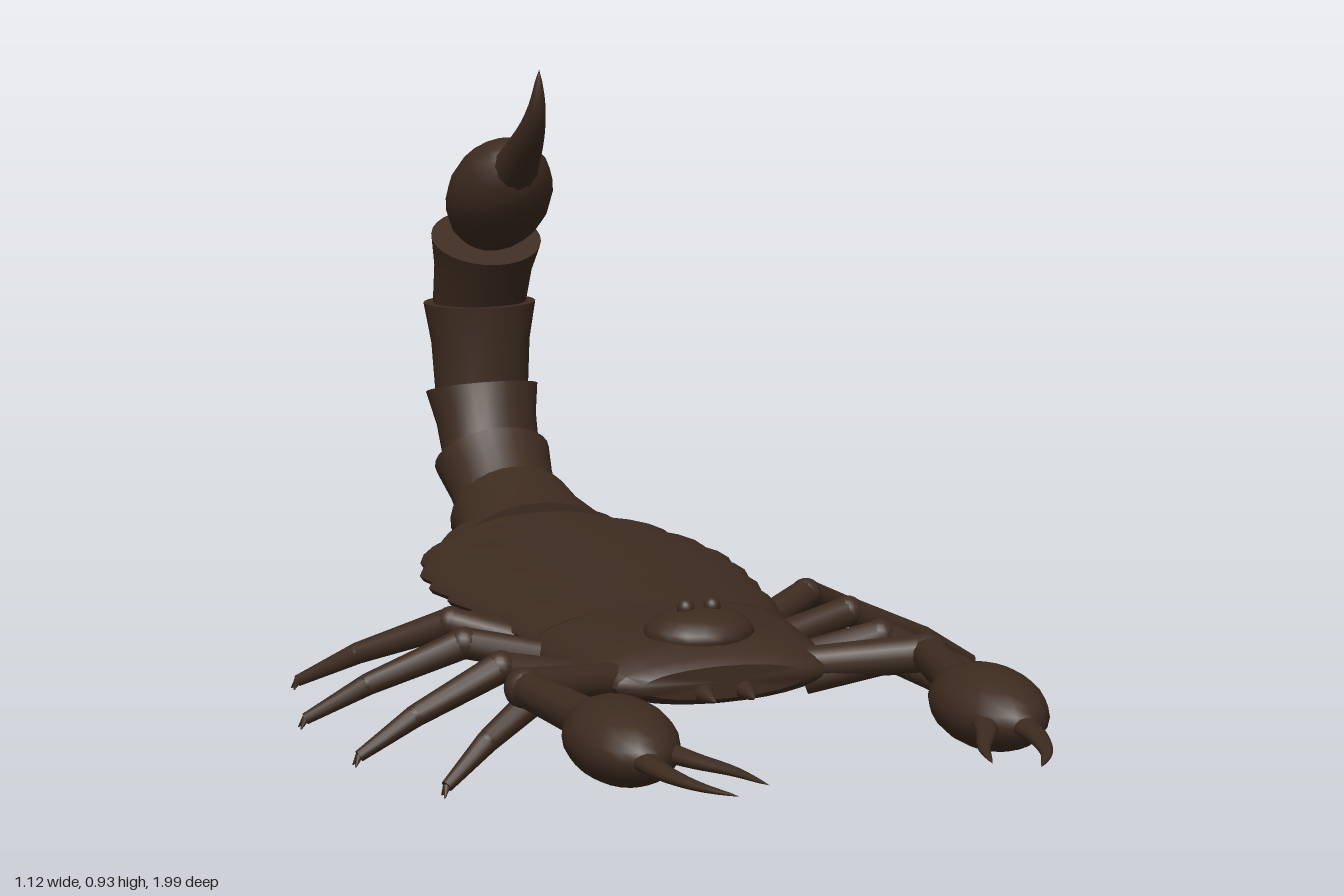
import * as THREE from 'three';
import { toCreasedNormals } from 'three/addons/utils/BufferGeometryUtils.js';

const V = (x, y, z) => new THREE.Vector3(x, y, z);
const SIDES = 28;

// Closed loft through elliptical rings, listed from front to back.
// ring: z, y centre, rx half width, up / down half heights, tilt about x
function loft(rings) {
  const pos = [], idx = [];
  for (const { z, y, rx, up, down = up, tilt = 0 } of rings) {
    for (let j = 0; j < SIDES; j++) {
      const a = (j / SIDES) * Math.PI * 2, s = Math.sin(a);
      const v = s * (s > 0 ? up : down);
      pos.push(rx * Math.cos(a), y + v * Math.cos(tilt), z + v * Math.sin(tilt));
    }
  }
  const first = pos.length / 3, last = rings.length - 1;
  pos.push(0, rings[0].y, rings[0].z, 0, rings[last].y, rings[last].z);
  for (let j = 0; j < SIDES; j++) {
    const k = (j + 1) % SIDES;
    for (let i = 0; i < last; i++) {
      const a = i * SIDES + j, b = i * SIDES + k;
      idx.push(a, a + SIDES, b, b, a + SIDES, b + SIDES);
    }
    idx.push(first, j, k, first + 1, last * SIDES + k, last * SIDES + j);
  }
  const g = new THREE.BufferGeometry();
  g.setAttribute('position', new THREE.Float32BufferAttribute(pos, 3));
  g.setIndex(idx);
  return toCreasedNormals(g, 0.7);
}

// Curved spike: a tube whose radius shrinks to a point
function spike(points, radius, flat = 1) {
  const path = new THREE.CatmullRomCurve3(points), n = 12, sides = 12;
  const g = new THREE.TubeGeometry(path, n, radius, sides);
  const p = g.attributes.position, v = V(0, 0, 0);
  for (let i = 0; i <= n; i++) {
    const c = path.getPointAt(i / n), k = Math.pow(1 - i / n, 0.75);
    for (let j = 0; j <= sides; j++) {
      const q = i * (sides + 1) + j;
      v.fromBufferAttribute(p, q).sub(c).multiplyScalar(k);
      v.y *= flat;
      v.add(c);
      p.setXYZ(q, v.x, v.y, v.z);
    }
  }
  g.computeVertexNormals();
  return g;
}

export function createModel() {
  const root = new THREE.Group();
  root.name = 'scorpion';
  const shell = new THREE.MeshStandardMaterial({ color: 0x3d2b1f });
  shell.name = 'dark brown shell';

  const add = (name, geo, parent = root) => {
    const m = new THREE.Mesh(geo, shell);
    m.name = name;
    parent.add(m);
    return m;
  };
  const ball = (name, c, sx, sy, sz, parent) => {
    const m = add(name, new THREE.SphereGeometry(1, 18, 12), parent);
    m.position.copy(c);
    m.scale.set(sx, sy, sz);
    return m;
  };
  const limb = (name, a, b, r0, r1, parent) => {
    const d = b.clone().sub(a);
    const m = add(name, new THREE.CylinderGeometry(r1, r0, d.length(), 12), parent);
    m.position.copy(a).addScaledVector(d, 0.5);
    m.quaternion.setFromUnitVectors(V(0, 1, 0), d.normalize());
    return m;
  };

  // Head shield with eye mound
  add('carapace', loft([
    { z: 0.35, y: 0.115, rx: 0.13, up: 0.025, down: 0.025 },
    { z: 0.335, y: 0.115, rx: 0.165, up: 0.038, down: 0.035 },
    { z: 0.28, y: 0.115, rx: 0.188, up: 0.053, down: 0.045 },
    { z: 0.2, y: 0.115, rx: 0.2, up: 0.058, down: 0.052 },
    { z: 0.11, y: 0.115, rx: 0.208, up: 0.055, down: 0.055 },
    { z: 0.045, y: 0.115, rx: 0.212, up: 0.055, down: 0.05 },
  ]));
  ball('eyeMound', V(0, 0.165, 0.235), 0.085, 0.038, 0.075);
  ball('sternum', V(0, 0.075, 0.12), 0.06, 0.022, 0.1);

  // Overlapping back plates, each flaring towards the rear
  const widths = [0.23, 0.245, 0.257, 0.262, 0.252, 0.226, 0.167];
  const starts = [0.212, 0.222, 0.236, 0.243, 0.24, 0.215, 0.168];
  widths.forEach((w, i) => {
    const z0 = 0.05 - (i ? 0.02 + i * 0.09 : 0), z1 = -0.06 - i * 0.09;
    const up = 0.055 + i * 0.0015;
    add('abdomenPlate' + (i + 1), loft([
      { z: z0 + 0.012, y: 0.125, rx: starts[i] * 0.96, up: up * 0.82, down: 0.032 },
      { z: (z0 + z1) / 2, y: 0.125, rx: (starts[i] + w) / 2, up: up * 0.94, down: 0.036 },
      { z: z1, y: 0.125, rx: w, up, down: 0.04 },
    ]));
  });

  // Tail: five flared segments curling up and forward
  const joints = [
    { z: -0.57, y: 0.125, rx: 0.14, up: 0.078, tilt: 0 },
    { z: -0.73, y: 0.15, rx: 0.11, up: 0.093, tilt: 0.32 },
    { z: -0.845, y: 0.228, rx: 0.103, up: 0.091, tilt: 0.79 },
    { z: -0.905, y: 0.342, rx: 0.1, up: 0.084, tilt: 1.28 },
    { z: -0.915, y: 0.495, rx: 0.1, up: 0.083, tilt: 1.57 },
    { z: -0.87, y: 0.615, rx: 0.098, up: 0.08, tilt: 2.09 },
  ];
  for (let i = 0; i < 5; i++) {
    const a = joints[i], b = joints[i + 1], s = i ? 0.83 : 1;
    const at = (t, k) => {
      const r = {};
      for (const key in a) r[key] = a[key] + (b[key] - a[key]) * t;
      r.rx *= k;
      r.up *= k;
      return r;
    };
    add('tailSegment' + (i + 1), loft([at(-0.04, s), at(0.55, i ? 0.88 : 0.95), at(1, 1)]));
  }

  // Venom bulb and sting
  const bulb = ball('venomBulb', V(0, 0.7, -0.79), 0.09, 0.083, 0.138);
  bulb.rotation.x = -0.62;
  add('sting', spike([V(0, 0.745, -0.71), V(0, 0.785, -0.655), V(0, 0.835, -0.595),
    V(0, 0.88, -0.565), V(0, 0.938, -0.555)], 0.042));

  // Legs from front to back: hip x, hip z, foot x, foot z
  const legs = [[0.15, 0.29, 0.455, 0.425], [0.15, 0.2, 0.535, 0.23],
    [0.15, 0.09, 0.56, 0.0], [0.15, 0.02, 0.515, -0.23]];

  for (const s of [1, -1]) {
    const side = s > 0 ? 'left' : 'right';
    ball(side + 'Eye', V(s * 0.021, 0.203, 0.235), 0.013, 0.014, 0.013);
    add(side + 'Mouthpart', spike([V(s * 0.032, 0.1, 0.325), V(s * 0.032, 0.1, 0.36),
      V(s * 0.03, 0.098, 0.395)], 0.02));

    legs.forEach(([hx, hz, fx, fz], i) => {
      const leg = new THREE.Group();
      leg.name = side + 'Leg' + (i + 1);
      root.add(leg);
      const at = (t, y) => V(s * (hx + (fx - hx) * t), y, hz + (fz - hz) * t);
      const hip = at(0, 0.095), knee = at(0.4, 0.13), ankle = at(0.75, 0.07), foot = at(0.98, 0.018);
      limb('thigh', hip, knee, 0.026, 0.024, leg);
      ball('knee', knee, 0.025, 0.025, 0.025, leg);
      limb('shin', knee, ankle, 0.024, 0.017, leg);
      ball('ankle', ankle, 0.017, 0.017, 0.017, leg);
      limb('foot', ankle, foot, 0.017, 0.009, leg);
      for (const o of [-0.008, 0.008]) {
        const tip = at(1, 0.004);
        tip.z += o;
        limb('toe', foot, tip, 0.006, 0.001, leg);
      }
    });

    // Pincer arm
    const arm = new THREE.Group();
    arm.name = side + 'Pincer';
    root.add(arm);
    const elbow = V(s * 0.315, 0.138, 0.37), wrist = V(s * 0.283, 0.14, 0.58);
    limb('upperArm', V(s * 0.14, 0.115, 0.285), elbow, 0.026, 0.03, arm);
    ball('elbow', elbow, 0.031, 0.031, 0.031, arm);
    limb('forearm', elbow, wrist, 0.027, 0.031, arm);
    ball('palm', V(s * 0.275, 0.14, 0.685), 0.076, 0.058, 0.127, arm);
    add('outerFinger', spike([V(s * 0.28, 0.14, 0.78), V(s * 0.272, 0.14, 0.86),
      V(s * 0.25, 0.14, 0.935), V(s * 0.215, 0.14, 0.995)], 0.021, 0.7), arm);
    add('innerFinger', spike([V(s * 0.24, 0.14, 0.75), V(s * 0.212, 0.14, 0.82),
      V(s * 0.182, 0.14, 0.88), V(s * 0.16, 0.14, 0.958)], 0.02, 0.7), arm);
  }
  return root;
}
